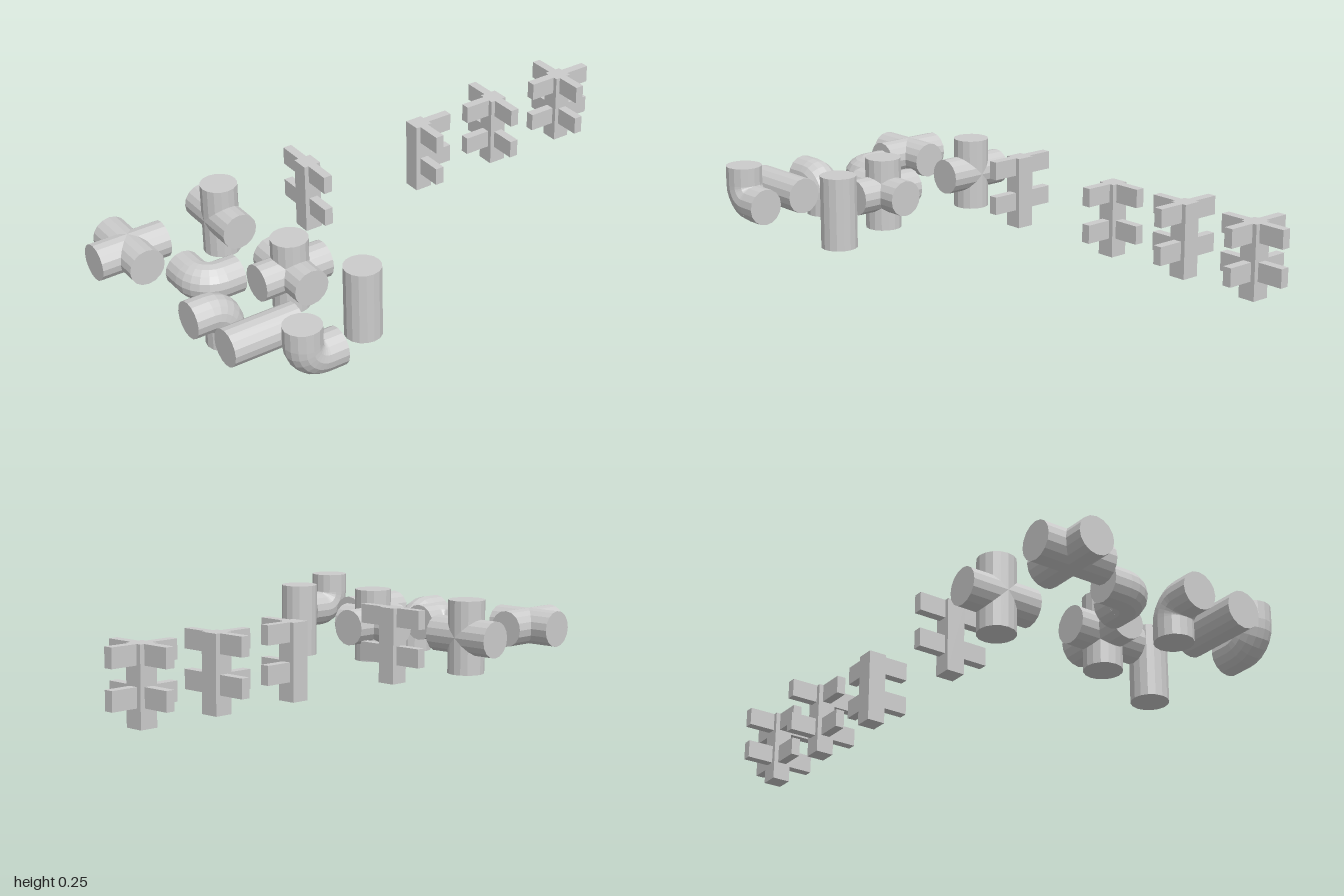
import * as THREE from 'three';

const S = 0.25;        // cell size of every piece
const R = S / 4;       // pipe radius
const SIDES = 16;
const mat = new THREE.MeshStandardMaterial({ color: 0xcccccc, flatShading: true });

function add(parent, name, geometry, x = 0, y = 0, z = 0) {
  const mesh = new THREE.Mesh(geometry, mat);
  mesh.name = name;
  mesh.position.set(x, y, z);
  parent.add(mesh);
  return mesh;
}

function piece(name, x, z) {
  const group = new THREE.Group();
  group.name = name;
  group.position.set(x, S / 2, z);
  return group;
}

// Straight pipes through the cell centre, one for each axis letter
function pipes(name, x, z, axes) {
  const g = piece(name, x, z);
  for (const axis of axes) {
    const pipe = add(g, 'pipe', new THREE.CylinderGeometry(R, R, S, SIDES));
    if (axis === 'x') pipe.rotation.z = Math.PI / 2;
    if (axis === 'z') pipe.rotation.x = Math.PI / 2;
  }
  return g;
}

// Quarter bend with short arms toward -x and -y, then turned into place
function elbow(name, x, z, rx, ry) {
  const g = piece(name, x, z);
  const bend = new THREE.TorusGeometry(R * 1.001, R, SIDES, 6, Math.PI / 2);
  add(g, 'bend', bend, -R, -R, 0);
  const arm = new THREE.CylinderGeometry(R, R, R, SIDES);
  add(g, 'arm', arm, 0, -1.5 * R, 0);
  add(g, 'arm', arm, -1.5 * R, 0, 0).rotation.z = Math.PI / 2;
  g.rotation.set(rx, ry, 0);
  return g;
}

// Square post with a pair of rails toward each listed direction [dx, dz]
function fence(name, x, z, directions) {
  const g = piece(name, x, z);
  const post = S / 4, thick = S / 8, length = (S - post) / 2;
  add(g, 'post', new THREE.BoxGeometry(post, S, post));
  const mid = post / 2 + length / 2;
  for (const [dx, dz] of directions) {
    for (const y of [-S / 8, S * 3 / 8]) {
      const rail = new THREE.BoxGeometry(dx ? length : thick, S / 4, dz ? length : thick);
      add(g, 'rail', rail, dx * mid, y, dz * mid);
    }
  }
  return g;
}

export function createModel() {
  const model = new THREE.Group();
  model.name = 'pipeAndFencePieces';
  const H = Math.PI / 2;
  const left = [1, 0], right = [-1, 0], front = [0, 1], back = [0, -1];

  model.add(
    // Fence row
    fence('fenceCross', -0.343, -0.875, [left, right, front, back]),
    fence('fenceTee', -0.343, -0.579, [left, right, front]),
    fence('fenceCorner', -0.343, -0.253, [left, back]),
    fence('fenceStraight', -0.343, 0.208, [left, right]),
    // Straight pipes and crossings
    pipes('pipeUprightCross', -0.392, 0.525, 'xy'),
    pipes('pipeFlatCross', -0.381, 0.875, 'xz'),
    pipes('pipeSixWay', 0.024, 0.514, 'xyz'),
    pipes('pipeLying', 0.267, 0.776, 'z'),
    pipes('pipeUpright', 0.292, 0.418, 'y'),
    // Bends
    elbow('elbowFlat', -0.063, 0.785, H, 0),
    elbow('elbowDown', 0.076, 0.792, 0, H),
    elbow('elbowUp', 0.452, 0.741, Math.PI, H),
  );
  return model;
}
